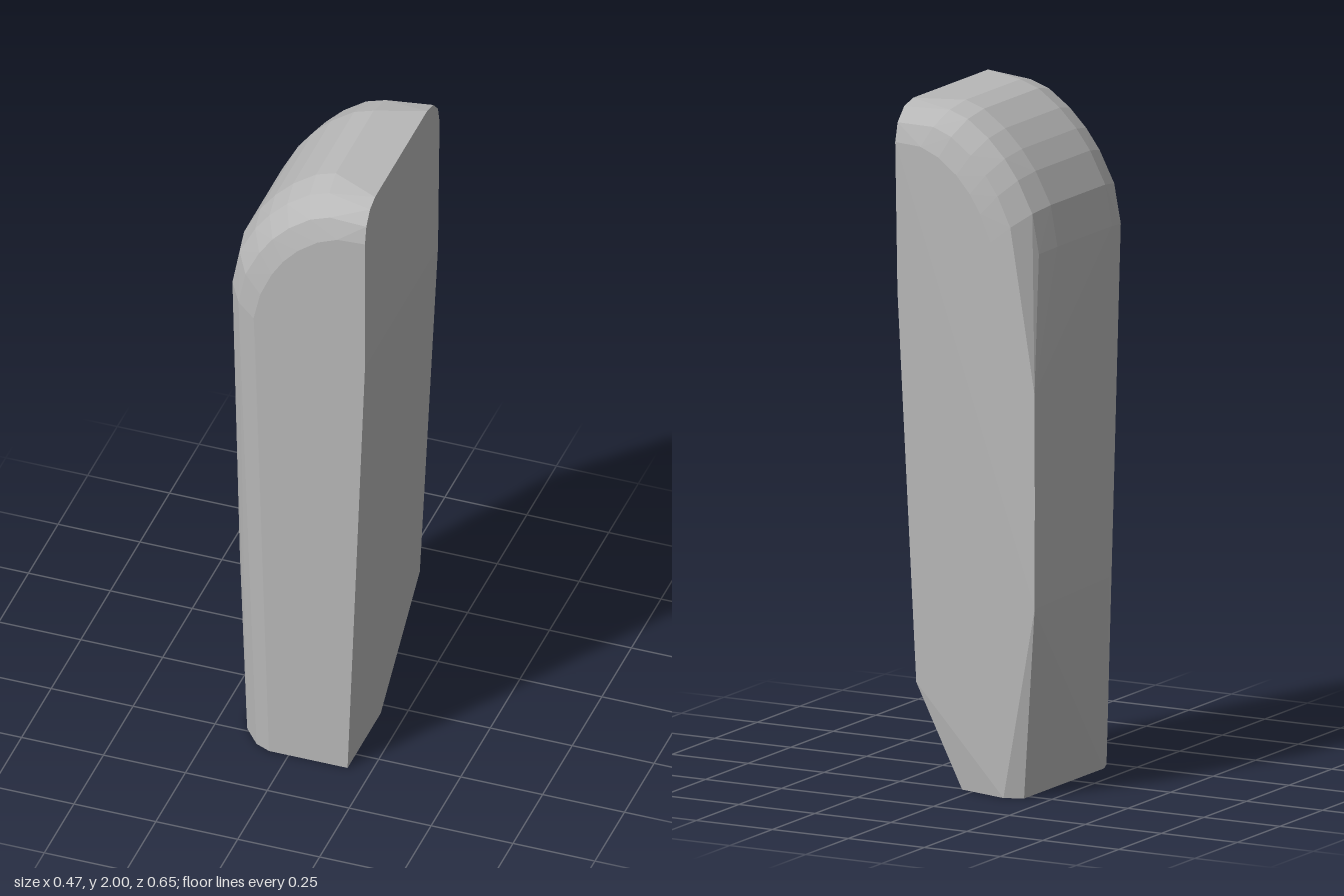
import * as THREE from 'three';
import { ConvexGeometry } from 'three/addons/geometries/ConvexGeometry.js';

export function createModel() {
  const group = new THREE.Group();
  const stone = new THREE.MeshStandardMaterial({ color: 0xb8b8b8 });
  const points = [];
  const add = (x, y, z) => points.push(new THREE.Vector3(x, y, z));

  // Outer shoulder curve and the inset curve bounding the front and back faces, as [x, y]
  const outer = [[0.235, 2], [0.09, 2], [0.03, 1.98], [-0.04, 1.93], [-0.095, 1.875], [-0.14, 1.815], [-0.19, 1.72], [-0.212, 1.6]];
  const inset = [[0.235, 1.89], [0.15, 1.885], [0.09, 1.86], [0.03, 1.815], [-0.015, 1.765], [-0.05, 1.71], [-0.085, 1.63], [-0.105, 1.54]];

  // Rounded shoulder: a quarter-round fillet on the front and on the back
  outer.forEach(([x, y], i) => {
    const [ix, iy] = inset[i];
    const ends = [
      [i === 0 ? 0.24 : 0.17, 0.325],
      [i === 0 ? -0.2 : -0.15, -0.305 - 0.012 * (0.235 - ix) / 0.34],
    ];
    for (const [zOuter, zFace] of ends) {
      for (const angle of [0, 30, 60, 90]) {
        const a = THREE.MathUtils.degToRad(angle);
        const t = 1 - Math.cos(a);
        add(x + (ix - x) * t, y + (iy - y) * t, zOuter + (zFace - zOuter) * Math.sin(a));
      }
    }
  });

  // Body sections below the shoulder: height, then [x, z] corners
  const sections = [
    [1.45, [[0.235, 0.325], [0.235, -0.292], [-0.1, 0.325], [-0.165, 0.265], [-0.2, 0.21], [-0.213, 0.16]]],
    [1.2, [[-0.234, -0.324]]],
    [0.9, [[-0.236, -0.326], [-0.213, 0.16]]],
    [0.57, [[-0.235, -0.325], [-0.207, 0.16]]],
    [0.3, [[0.191, -0.26]]],
    [0, [[0.18, 0.32], [-0.06, 0.32], [-0.105, 0.3], [-0.155, 0.24], [-0.175, 0.19],
      [-0.175, -0.28], [-0.12, -0.303], [0.04, -0.26], [0.18, 0.04]]],
  ];
  for (const [y, corners] of sections) for (const [x, z] of corners) add(x, y, z);

  const body = new THREE.Mesh(new ConvexGeometry(points), stone);
  body.name = 'body';
  group.add(body);
  return group;
}
